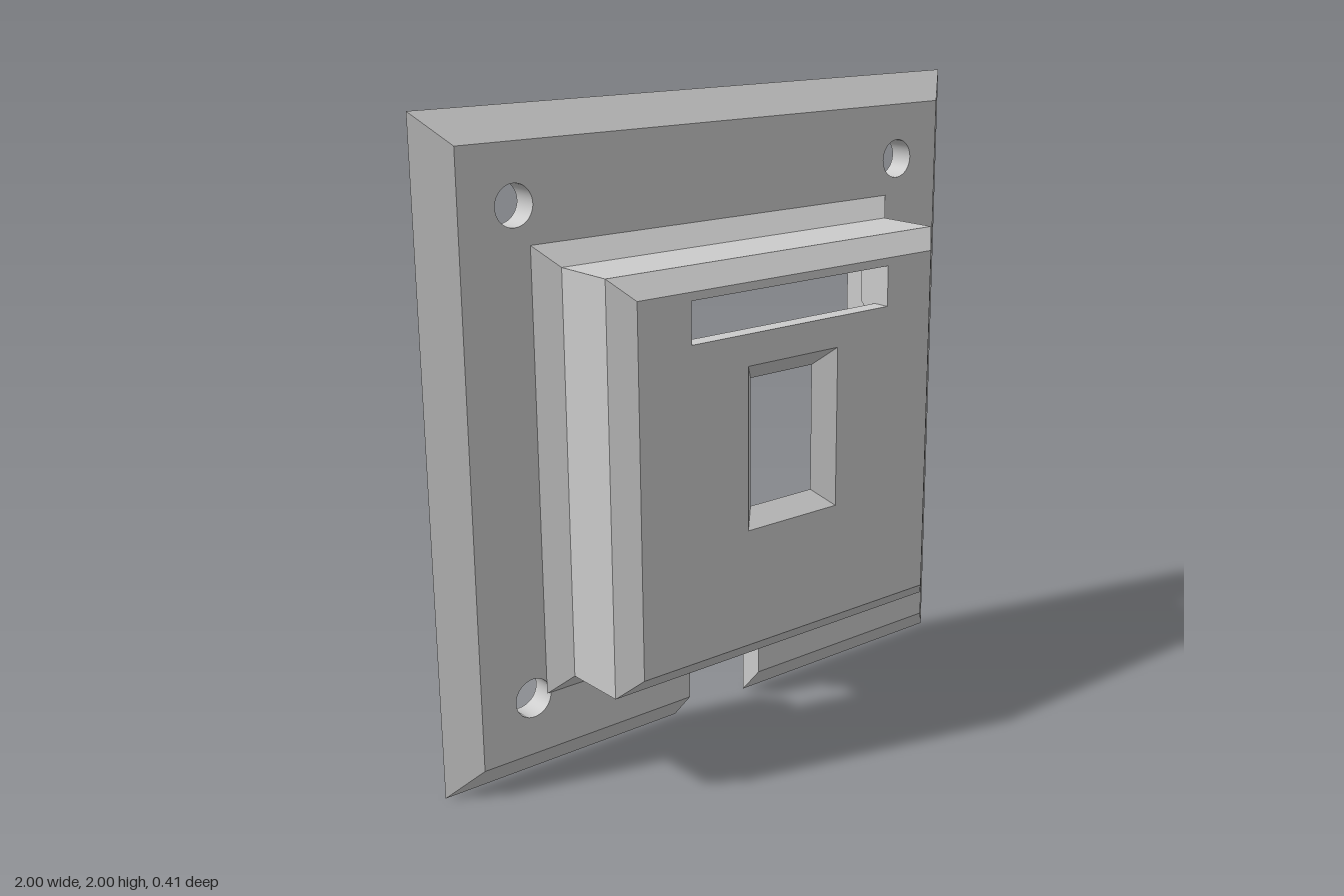
import * as THREE from 'three';

const material = new THREE.MeshStandardMaterial({ color: 0xcccccc });
const holeMaterial = new THREE.MeshStandardMaterial({ color: 0xcccccc, side: THREE.BackSide });
const NOTCH = 0.145, HOLE_R = 0.061, HOLE_X = 0.733;
const BACK = -0.2, PLATE = -0.12, FRONT = 0.205, WALL = 0.15, STEP = 0.09;

// Flat-faced skin through successive rows of [x, y, z] points
function loft(...rows) {
  const pos = [];
  for (let r = 0; r < rows.length - 1; r++) {
    const a = rows[r], b = rows[r + 1];
    for (let i = 0; i < a.length - 1; i++) {
      pos.push(...a[i], ...a[i + 1], ...b[i + 1], ...a[i], ...b[i + 1], ...b[i]);
    }
  }
  const geo = new THREE.BufferGeometry();
  geo.setAttribute('position', new THREE.Float32BufferAttribute(pos, 3));
  geo.computeVertexNormals();
  return geo;
}

// Half of a rectangular ring, running from the bottom middle round to the top middle
const ring = (hx, y0, y1, z, start = 0) => [[start, y0, z], [hx, y0, z], [hx, y1, z], [0, y1, z]];

function shapeOf(points, holes = []) {
  const shape = new THREE.Shape(points.map(([x, y]) => new THREE.Vector2(x, y)));
  for (const y of holes) shape.holes.push(new THREE.Path().absarc(HOLE_X, y, HOLE_R, 0, Math.PI * 2));
  return shape;
}

function face(shape, z, backward = false) {
  const geo = new THREE.ShapeGeometry(shape, 24).translate(0, 0, z);
  if (backward) {
    geo.index.array.reverse();
    geo.computeVertexNormals();
  }
  return geo;
}

// Cable notch: straight sides ending in a half round
const notchX = z => (z <= 0 ? NOTCH : Math.sqrt(Math.max(0, NOTCH * NOTCH - z * z)));
const floorRise = z => Math.max(0, z - STEP);
const arcZ = [STEP];
for (let i = 0; i <= 24; i++) arcZ.push(NOTCH * Math.sin((i / 24) * Math.PI / 2));
arcZ.sort((a, b) => a - b);

function createHalf() {
  const half = new THREE.Group();
  const add = (name, geo, mat = material) => {
    const mesh = new THREE.Mesh(geo, mat);
    mesh.name = name;
    half.add(mesh);
    return mesh;
  };

  // Mounting plate
  add('plateBack', face(shapeOf([
    [NOTCH, 0], [1, 0], [1, 2], [0, 2], [0, 1.53], [0.6, 1.53], [0.6, 0.36], [NOTCH, 0.36],
  ], [0.27, 1.735]), BACK, true));
  add('plateBevel', loft(ring(1, 0, 2, BACK, NOTCH), ring(0.91, 0.09, 1.91, PLATE, NOTCH)));

  // The lower screw hole nips the corner of the raised box
  const plateFront = new THREE.Shape();
  plateFront.moveTo(NOTCH, 0.09).lineTo(0.91, 0.09).lineTo(0.91, 1.91).lineTo(0, 1.91);
  plateFront.lineTo(0, 1.62).lineTo(0.685, 1.62);
  plateFront.absarc(HOLE_X, 0.27, HOLE_R, 2.477, -Math.PI, true);
  plateFront.lineTo(NOTCH, 0.27);
  plateFront.holes.push(new THREE.Path().absarc(HOLE_X, 1.735, HOLE_R, 0, Math.PI * 2));
  add('plateFront', face(plateFront, PLATE));
  for (const y of [0.27, 1.735]) {
    const hole = add('screwHole',
      new THREE.CylinderGeometry(HOLE_R, HOLE_R, PLATE - BACK, 48, 1, true).rotateX(Math.PI / 2), holeMaterial);
    hole.position.set(HOLE_X, y, (PLATE + BACK) / 2);
  }

  // Raised box, outside
  add('boxBaseBevel', loft(ring(0.685, 0.27, 1.62, PLATE, NOTCH), ring(0.625, 0.33, 1.56, -0.06, NOTCH)));
  add('boxSides', loft(ring(0.625, 0.33, 1.56, -0.06).slice(1), ring(0.625, 0.33, 1.56, 0.145).slice(1)));
  const underZ = [-0.06, ...arcZ];
  add('boxUnderside', loft(underZ.map(z => [0.625, 0.33, z]), underZ.map(z => [notchX(z), 0.33, z])));
  add('boxFrontBevel', loft(ring(0.625, 0.33, 1.56, 0.145), ring(0.565, 0.39, 1.5, FRONT)));
  add('boxFront', face(shapeOf([
    [0, 0.39], [0.565, 0.39], [0.565, 1.5], [0, 1.5], [0, 1.475], [0.38, 1.475], [0.38, 1.35], [0, 1.35],
    [0, 1.255], [0.175, 1.255], [0.175, 0.755], [0, 0.755],
  ]), FRONT));
  add('windowBevel', loft(ring(0.175, 0.755, 1.255, FRONT), ring(0.12, 0.805, 1.2, WALL)));

  // Slot walls
  const slotBack = [[0, 1.35, WALL], [0.38, 1.35, WALL], [0.38, 1.35, STEP], [0.38, 1.475, STEP], [0, 1.475, STEP]];
  add('slotWalls', loft(slotBack.map(([x, y]) => [x, y, FRONT]), slotBack));

  // Hollow inside
  add('cavityMouth', loft(ring(0.54, 0.42, 1.47, -0.14, NOTCH), ring(0.6, 0.36, 1.53, BACK, NOTCH)));
  add('cavitySides', loft(ring(0.54, 0.42, 1.47, STEP).slice(1), ring(0.54, 0.42, 1.47, -0.14).slice(1)));
  add('cavitySideBevel', loft(
    [[0.48, 0.48, WALL], [0.48, 1.41, WALL]], [[0.54, 0.42, STEP], [0.54, 1.47, STEP]]));
  const floorZ = [-0.14, ...arcZ, WALL];
  add('cavityFloor', loft(
    floorZ.map(z => [notchX(z), 0.42 + floorRise(z), z]),
    floorZ.map(z => [0.54 - floorRise(z), 0.42 + floorRise(z), z])));
  add('cavityFront', face(shapeOf([
    [0, 0.48], [0.48, 0.48], [0.48, 1.35], [0, 1.35], [0, 1.2], [0.12, 1.2], [0.12, 0.805], [0, 0.805],
  ]), WALL, true));

  // Notch walls, as [z, lower y, upper y]
  const notchRows = [
    [BACK, 0, 0.36], [-0.14, 0.0675, 0.42], [PLATE, 0.09, 0.42], [PLATE, 0.27, 0.42], [-0.06, 0.33, 0.42],
    ...arcZ.map(z => [z, 0.33, 0.42 + floorRise(z)]),
  ];
  add('notchWall', loft(
    notchRows.map(([z, lo]) => [notchX(z), lo, z]), notchRows.map(([z, , hi]) => [notchX(z), hi, z])));

  // Thickened corner beside the slot
  const across = (x0, y, z) => [[x0, y, z], [0.54, y, z]];
  add('slotBlock', loft(across(0.38, 1.475, STEP), across(0.38, 1.35, STEP), across(0.38, 1.29, WALL)));
  add('slotBlockEnd', loft(
    [[0.38, 1.35, WALL], [0.38, 1.35, STEP]], [[0.38, 1.29, WALL], [0.38, 1.29, WALL]]));

  // Inner pillar
  add('pillar', loft(across(0.21, 1.04, WALL), across(0.27, 0.98, STEP), across(0.27, 0.42, STEP)));
  add('pillarSide', loft(
    [[0.21, 0.42, WALL], [0.21, 1.04, WALL]], [[0.27, 0.42, STEP], [0.27, 0.98, STEP]]));
  return half;
}

export function createModel() {
  const model = new THREE.Group();
  model.name = 'wallPlate';
  const left = createHalf();
  left.name = 'leftHalf';
  const right = createHalf();
  right.name = 'rightHalf';
  right.scale.x = -1;
  model.add(left, right);
  return model;
}
